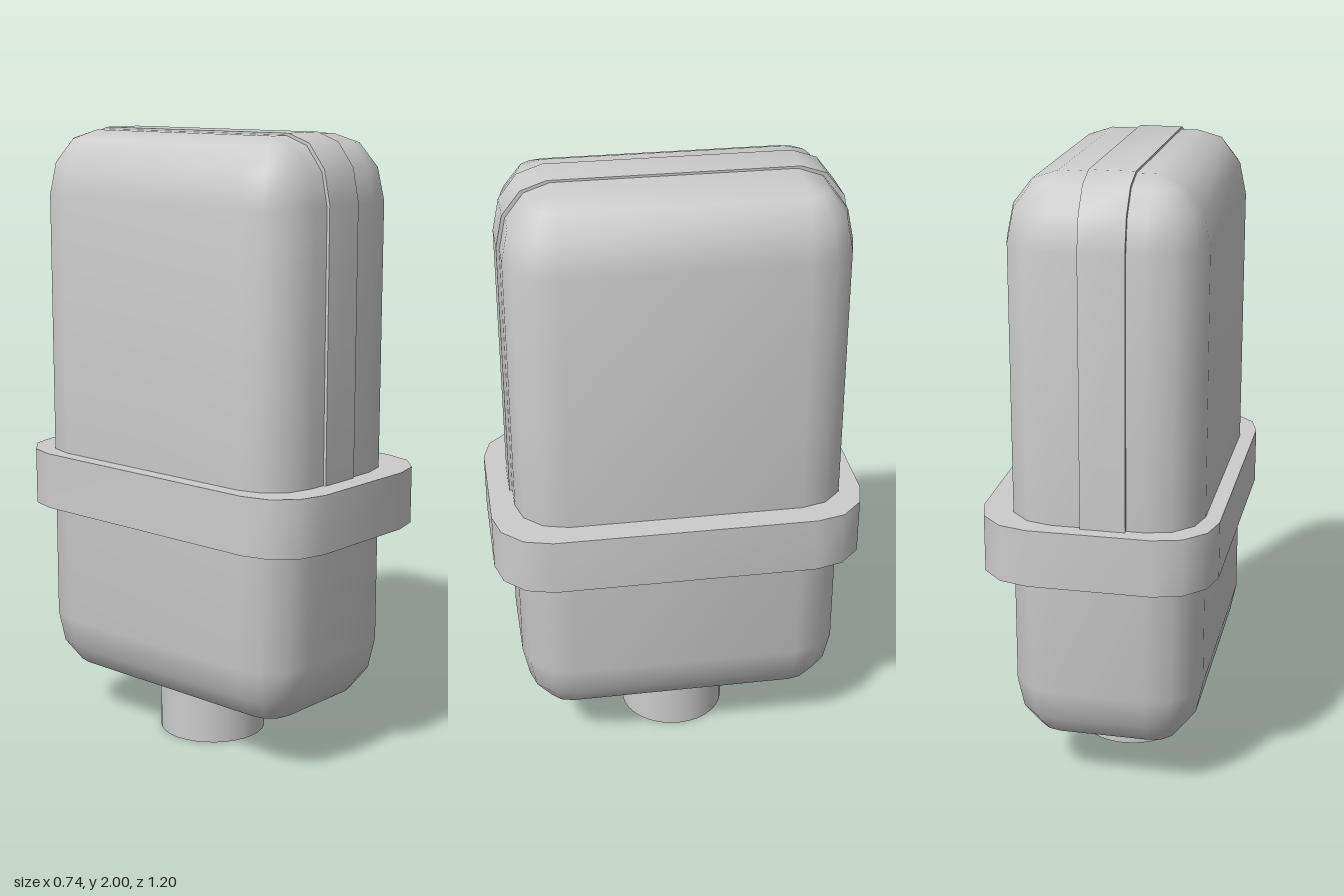
import * as THREE from 'three';
import { toCreasedNormals } from 'three/addons/utils/BufferGeometryUtils.js';

const STEPS = 3; // facets per rounded quarter
const material = new THREE.MeshStandardMaterial({ color: 0xcccccc });

// Outline of a rounded rectangle with half sizes a, b and corner radii ra, rb
function roundedOutline(a, b, ra, rb = ra) {
  const points = [];
  [[1, 1], [-1, 1], [-1, -1], [1, -1]].forEach(([sx, sy], q) => {
    for (let i = 0; i <= STEPS; i++) {
      const t = (q + i / STEPS) * Math.PI / 2;
      points.push(new THREE.Vector2(sx * (a - ra) + ra * Math.cos(t), sy * (b - rb) + rb * Math.sin(t)));
    }
  });
  return points;
}

// Skin over stacked rings of { y, outline }, capped at both ends
function loft(rings) {
  const n = rings[0].outline.length, position = [], index = [];
  for (const { y, outline } of rings) for (const p of outline) position.push(p.x, y, p.y);
  const last = rings.length - 1, bottom = position.length / 3, top = bottom + 1;
  position.push(0, rings[0].y, 0, 0, rings[last].y, 0);
  for (let j = 0; j < n; j++) {
    const k = (j + 1) % n;
    for (let i = 0; i < last; i++) {
      const a = i * n + j, b = i * n + k, c = b + n, d = a + n;
      index.push(a, d, b, b, d, c);
    }
    index.push(bottom, j, k, top, last * n + k, last * n + j);
  }
  const geometry = new THREE.BufferGeometry();
  geometry.setAttribute('position', new THREE.Float32BufferAttribute(position, 3));
  geometry.setIndex(index);
  return toCreasedNormals(geometry, 0.65);
}

// Box rounded on every edge: radius r in plan, ry in height
function roundedBody(halfX, halfZ, y0, y1, r, ry) {
  const ring = (t, y) => {
    const inset = r * (1 - Math.cos(t));
    return { y, outline: roundedOutline(halfX - inset, halfZ - inset, Math.max(r - inset, 0.001)) };
  };
  const rings = [];
  for (let i = STEPS; i >= 0; i--) {
    const t = i / STEPS * Math.PI / 2;
    rings.push(ring(t, y0 + ry * (1 - Math.sin(t))));
  }
  for (let i = 0; i <= STEPS; i++) {
    const t = i / STEPS * Math.PI / 2;
    rings.push(ring(t, y1 - ry * (1 - Math.sin(t))));
  }
  return loft(rings);
}

export function createModel() {
  const model = new THREE.Group();
  const add = (name, geometry, x = 0, y = 0, z = 0) => {
    const mesh = new THREE.Mesh(geometry, material);
    mesh.name = name;
    mesh.position.set(x, y, z);
    model.add(mesh);
  };

  // Tall rounded housing
  add('housing', roundedBody(0.305, 0.535, 0.16, 1.993, 0.16, 0.205), -0.018, 0, -0.012);

  // Flat collar around the housing
  const collar = roundedOutline(0.372, 0.602, 0.18);
  add('collar', loft([{ y: 0.755, outline: collar }, { y: 0.94, outline: collar }]));

  // Raised band running up the front, over the top and down the back
  const upper = roundedOutline(0.546, 0.575, 0.16, 0.205).filter((p) => p.y > 0);
  const profile = new THREE.Shape([
    ...upper, new THREE.Vector2(-0.546, -0.575), new THREE.Vector2(0.546, -0.575)]);
  const band = new THREE.ExtrudeGeometry(profile, { depth: 0.14, bevelEnabled: false });
  band.translate(0, 0, -0.07);
  band.rotateY(-Math.PI / 2);
  add('raisedBand', toCreasedNormals(band, 0.65), -0.035, 1.425, -0.013);

  // Short round stub underneath
  add('stub', new THREE.CylinderGeometry(0.176, 0.176, 0.2, 32), -0.02, 0.1, -0.01);

  return model;
}
